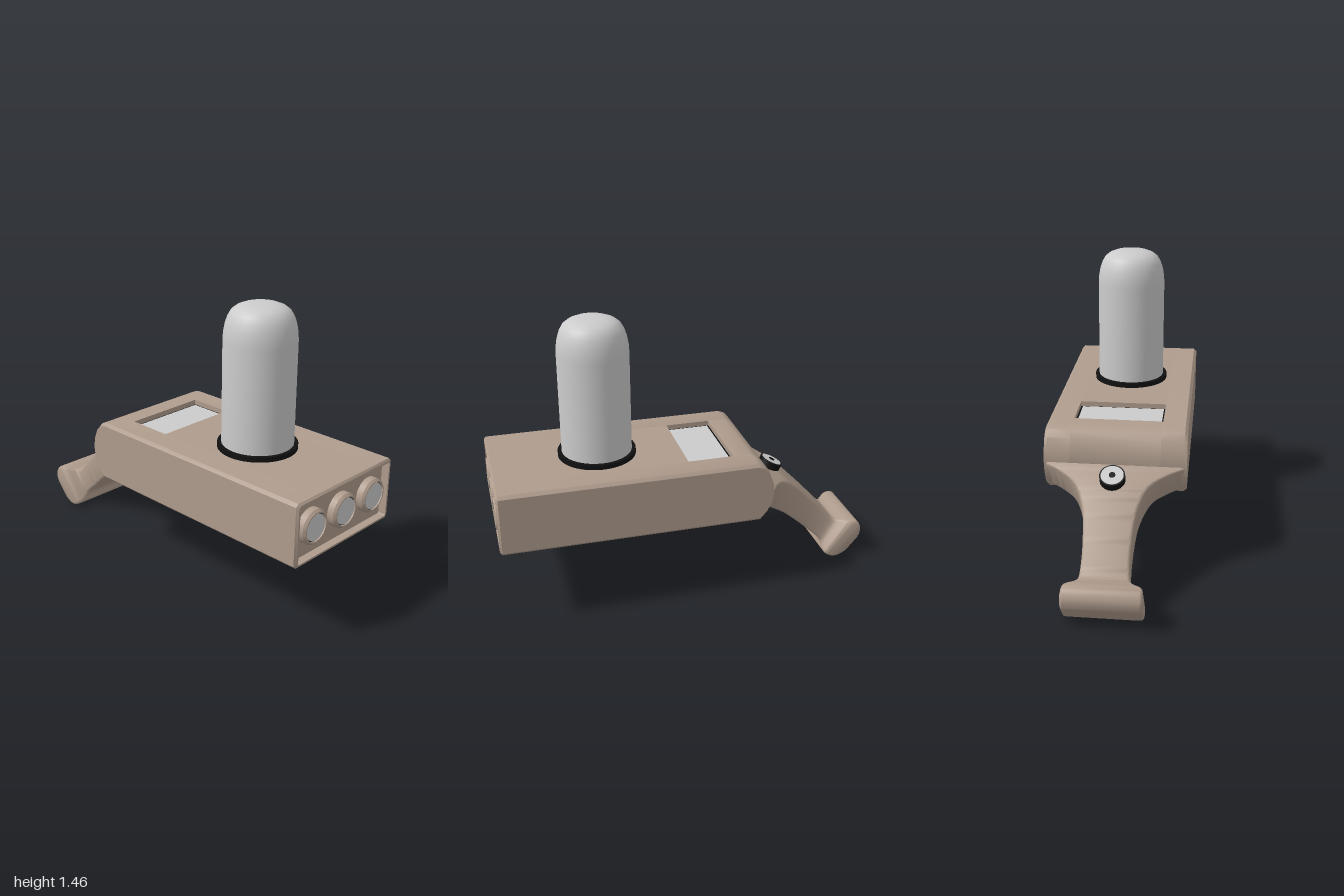
import * as THREE from 'three';
import { toCreasedNormals } from 'three/addons/utils/BufferGeometryUtils.js';

const brown = new THREE.MeshStandardMaterial({ color: 0xaf9c8d });
const grey = new THREE.MeshStandardMaterial({ color: 0xcccccc });
const black = new THREE.MeshStandardMaterial({ color: 0x111111 });

// Skin a series of equal-length rings of [x, y, z] points, optionally capping the ends
function loft(rings, capStart, capEnd, crease = 0.55) {
  const pos = [];
  const n = rings[0].length;
  const tri = (...pts) => pts.forEach((p) => pos.push(...p));
  for (let i = 0; i < rings.length - 1; i++) {
    for (let j = 0; j < n; j++) {
      const k = (j + 1) % n;
      const a = rings[i][j], b = rings[i][k], c = rings[i + 1][k], d = rings[i + 1][j];
      tri(a, b, c);
      tri(a, c, d);
    }
  }
  const cap = (ring, flip) => {
    const mid = [0, 1, 2].map((k) => ring.reduce((s, p) => s + p[k], 0) / n);
    ring.forEach((p, j) => {
      const q = ring[(j + 1) % n];
      flip ? tri(mid, q, p) : tri(mid, p, q);
    });
  };
  if (capStart) cap(rings[0], true);
  if (capEnd) cap(rings[rings.length - 1], false);
  const g = new THREE.BufferGeometry();
  g.setAttribute('position', new THREE.Float32BufferAttribute(pos, 3));
  return toCreasedNormals(g, crease);
}

function add(parent, name, geometry, material, x = 0, y = 0, z = 0) {
  const m = new THREE.Mesh(geometry, material);
  m.name = name;
  m.position.set(x, y, z);
  parent.add(m);
  return m;
}

const lathe = (pts, seg = 48, crease = 0.5) =>
  toCreasedNormals(new THREE.LatheGeometry(pts.map(([r, y]) => new THREE.Vector2(r, y)), seg), crease);

const MID_Y = 0.5725, FRONT = 0.94;

// Body: side profile [z, y] with a rounded rear, in three slices so the middle can hold the screen pocket
function buildBody(group) {
  const rear = [[-0.335, 0.41], [-0.37, 0.455], [-0.393, 0.51], [-0.402, 0.57],
    [-0.395, 0.63], [-0.373, 0.69], [-0.345, 0.722], [-0.31, 0.735]];
  const nose = [[FRONT, 0.735], [FRONT, 0.41]];
  const pocket = [[-0.22, 0.735], [-0.22, 0.7], [0.018, 0.7], [0.018, 0.735]];
  const at = (x, profile, s = 1) => profile.map(([z, y]) => [x, MID_Y + (y - MID_Y) * s, z]);
  const side = [...rear, ...nose], middle = [...rear, ...pocket, ...nose];
  const s = 1 - 0.015 / 0.1625;
  add(group, 'bodyMiddle', loft([at(-0.225, middle), at(0.225, middle)]), brown);
  add(group, 'bodyLeftSide', loft([at(0.225, side), at(0.34, side), at(0.355, side, s)], true, true), brown);
  add(group, 'bodyRightSide', loft([at(-0.355, side, s), at(-0.34, side), at(-0.225, side)], true, true), brown);

  // Front rim with a recessed panel
  const oct = (w, h, c, z) => [[w, -h + c], [w, h - c], [w - c, h], [-w + c, h],
    [-w, h - c], [-w, -h + c], [-w + c, -h], [w - c, -h]].map(([x, y]) => [x, y + MID_Y, z]);
  add(group, 'frontRim', loft([
    oct(0.355, 0.1625, 0.015, FRONT), oct(0.355, 0.1625, 0.015, 0.985), oct(0.345, 0.1525, 0.013, 0.995),
    oct(0.335, 0.1435, 0.003, 0.995), oct(0.335, 0.1435, 0.003, 0.955),
  ], false, true), brown);

  // Screen at the bottom of the pocket
  add(group, 'screenBorder', new THREE.BoxGeometry(0.45, 0.01, 0.238), black, 0, 0.703, -0.101);
  add(group, 'screen', new THREE.BoxGeometry(0.43, 0.01, 0.218), grey, 0, 0.706, -0.101);
}

// Three lamps across the front panel
function buildLamps(group) {
  for (const x of [-0.22, 0, 0.22]) {
    const lamp = new THREE.Group();
    lamp.name = 'frontLamp';
    lamp.position.set(x, 0.577, 0.95);
    lamp.rotation.x = Math.PI / 2;
    group.add(lamp);
    add(lamp, 'lampHousing', lathe([[0.087, 0], [0.087, 0.038], [0.076, 0.05], [0.07, 0.05], [0.07, 0.03]]), brown);
    add(lamp, 'lampSeal', new THREE.CylinderGeometry(0.07, 0.07, 0.042, 48), black, 0, 0.021, 0);
    add(lamp, 'lampLens', new THREE.CylinderGeometry(0.066, 0.066, 0.046, 48), grey, 0, 0.023, 0);
  }
}

// Domed tube standing on a black collar
function buildTube(group) {
  add(group, 'tubeCollar', new THREE.CylinderGeometry(0.2, 0.2, 0.035, 64), black, 0, 0.7425, 0.445);
  add(group, 'tube', lathe([[0.18, 0.74], [0.18, 1.28], [0.178, 1.32], [0.171, 1.36], [0.16, 1.395],
    [0.143, 1.425], [0.12, 1.443], [0.09, 1.455], [0.055, 1.46], [0, 1.46]], 64, 0.7), grey, 0, 0, 0.445);
}

// Curved handle: stations of half width, upper edge z/y and lower edge z/y
function buildHandle(group) {
  const stations = [
    [0.33, -0.34, 0.59, -0.29, 0.46], [0.35, -0.4, 0.57, -0.335, 0.435],
    [0.27, -0.45, 0.552, -0.38, 0.41], [0.2, -0.505, 0.53, -0.43, 0.385],
    [0.16, -0.56, 0.5, -0.485, 0.345], [0.13, -0.635, 0.435, -0.565, 0.285],
    [0.118, -0.72, 0.35, -0.65, 0.21], [0.115, -0.79, 0.275, -0.72, 0.145],
    [0.12, -0.85, 0.212, -0.78, 0.088], [0.135, -0.885, 0.206, -0.792, 0.06],
    [0.18, -0.93, 0.213, -0.79, 0.032], [0.188, -0.975, 0.207, -0.815, 0.01],
    [0.19, -0.998, 0.165, -0.855, 0.002], [0.185, -0.99, 0.115, -0.91, 0.022],
    [0.17, -0.97, 0.09, -0.93, 0.04],
  ];
  const edge = (a, b) => new THREE.CatmullRomCurve3(
    stations.map((s) => new THREE.Vector3(s[0], s[b], s[a])), false, 'catmullrom', 0.5);
  const upper = edge(1, 2), lower = edge(3, 4);
  const rings = [];
  const N = 70;
  for (let i = 0; i <= N; i++) {
    const t = upper.getPoint(i / N), b = lower.getPoint(i / N);
    const thick = Math.hypot(t.y - b.y, t.z - b.z);
    const r = Math.min(0.016, thick * 0.3);
    const ring = [];
    // Rounded rectangle, running clockwise in x and up since the handle advances towards -z
    for (let c = 0; c < 4; c++) {
      const sx = c === 0 || c === 3 ? 1 : -1, sv = c < 2 ? 1 : -1;
      for (let k = 0; k < 4; k++) {
        const a = (c + k / 3) * Math.PI / 2;
        const x = sx * (t.x - r) + r * Math.cos(a);
        const v = 0.5 + (sv * (thick / 2 - r) + r * Math.sin(a)) / thick;
        ring.push([x, b.y + (t.y - b.y) * v, b.z + (t.z - b.z) * v]);
      }
    }
    rings.push(ring.reverse());
  }
  add(group, 'handle', loft(rings, true, true, 0.8), brown);

  // Round button on the handle root
  const button = new THREE.Group();
  button.name = 'button';
  button.position.set(0, 0.545, -0.505);
  button.rotation.x = -0.46;
  group.add(button);
  add(button, 'buttonBase', new THREE.CylinderGeometry(0.063, 0.063, 0.05, 40), black);
  add(button, 'buttonFace', new THREE.CylinderGeometry(0.056, 0.056, 0.01, 40), grey, 0, 0.022, 0);
  add(button, 'buttonDot', new THREE.CylinderGeometry(0.016, 0.016, 0.01, 24), black, 0, 0.025, 0);
}

export function createModel() {
  const model = new THREE.Group();
  model.name = 'handheldDevice';
  buildBody(model);
  buildLamps(model);
  buildTube(model);
  buildHandle(model);
  return model;
}
